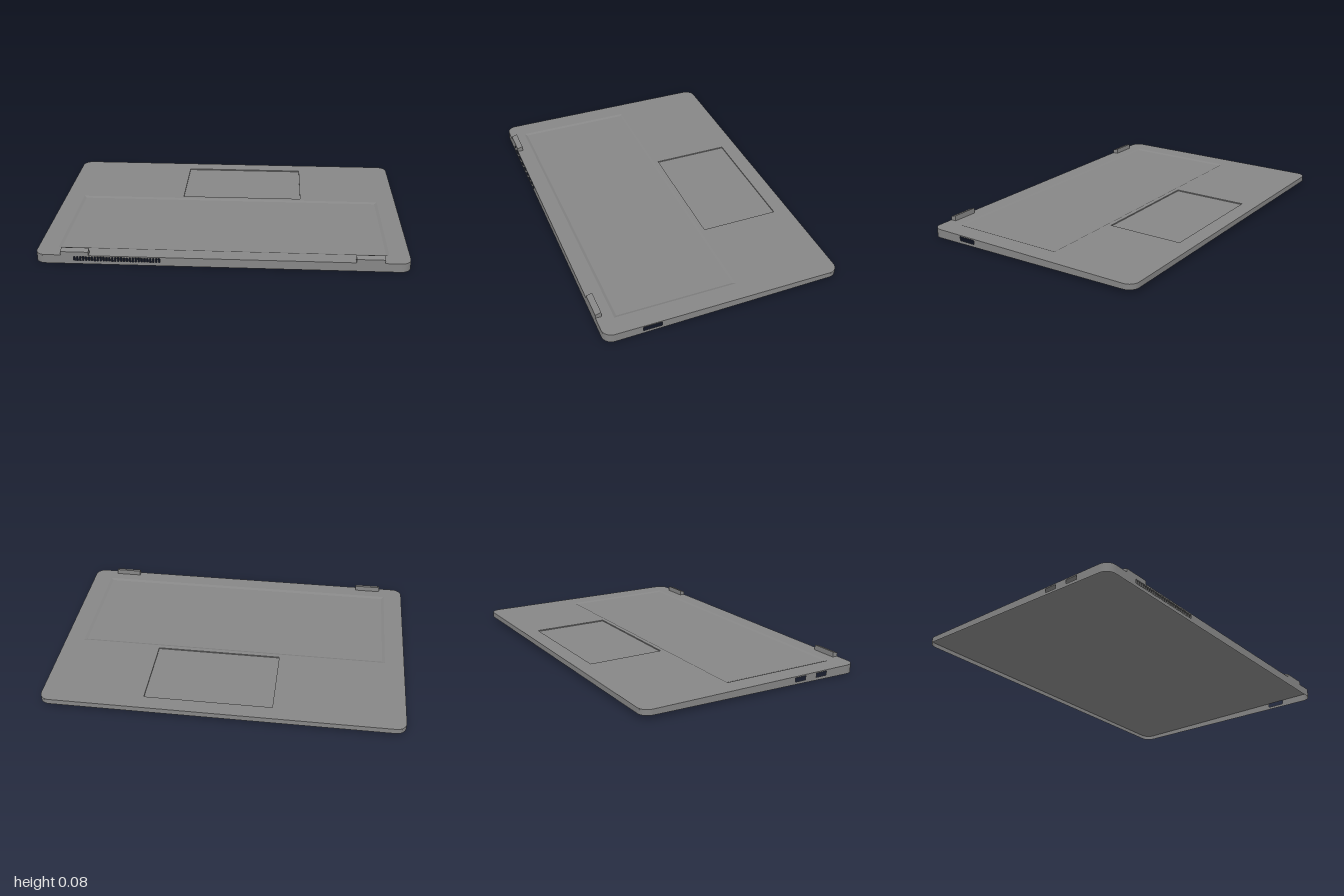
import * as THREE from 'three';

const W = 1, D = 0.66, TOP = 0.05, R = 0.055;
const FLOOR = TOP - 0.006; // level of the sunken areas
const bottomAt = (z) => 0.01 - 0.01 * z / D; // underside edge drops towards the hinge side
const material = new THREE.MeshStandardMaterial({ color: 0x868686, side: THREE.DoubleSide });

function add(parent, name, geometry) {
  const mesh = new THREE.Mesh(geometry, material);
  mesh.name = name;
  parent.add(mesh);
}

// rectangle path given by its corners
function rect(x0, y0, x1, y1, Type = THREE.Path) {
  const p = new Type();
  p.moveTo(x0, y0).lineTo(x1, y0).lineTo(x1, y1).lineTo(x0, y1).closePath();
  return p;
}

// rounded outline of the body, with optional openings
function outline(openings) {
  const s = new THREE.Shape();
  s.moveTo(-W + R, -D).lineTo(W - R, -D);
  s.absarc(W - R, -D + R, R, -Math.PI / 2, 0);
  s.absarc(W - R, D - R, R, 0, Math.PI / 2);
  s.absarc(-W + R, D - R, R, Math.PI / 2, Math.PI);
  s.absarc(-W + R, -D + R, R, Math.PI, Math.PI * 1.5);
  for (const [x0, x1, z0, z1] of openings) s.holes.push(rect(x0, -z1, x1, -z0));
  return new THREE.ShapeGeometry(s, 8).rotateX(-Math.PI / 2);
}

// strip between two rows of [x, y, z] points
function strip(a, b, flat) {
  const index = [];
  for (let i = 0; i < a.length - 1; i++) {
    const j = i + a.length;
    index.push(i, j, i + 1, i + 1, j, j + 1);
  }
  let g = new THREE.BufferGeometry();
  g.setAttribute('position', new THREE.Float32BufferAttribute([...a, ...b].flat(), 3));
  g.setIndex(index);
  if (flat) g = g.toNonIndexed();
  g.computeVertexNormals();
  return g;
}

// walls around a sunken area, sloped by inset
function recessWalls([x0, x1, z0, z1], inset) {
  const ring = (i, y) => [
    [x0 + i, y, z0 + i], [x0 + i, y, z1 - i], [x1 - i, y, z1 - i], [x1 - i, y, z0 + i], [x0 + i, y, z0 + i],
  ];
  return strip(ring(0, TOP), ring(inset, FLOOR), true);
}

export function createModel() {
  const model = new THREE.Group();
  model.name = 'laptopBase';

  // top deck with openings for the keyboard and touchpad, over one flat panel
  const keyboard = [-0.89, 0.89, -0.105, 0.57], touchpad = [-0.28, 0.43, -0.57, -0.13];
  add(model, 'deck', outline([keyboard, touchpad]).translate(0, TOP, 0));
  add(model, 'recessFloor', outline([]).translate(0, FLOOR, 0));
  add(model, 'keyboardRecess', recessWalls(keyboard, 0.015));
  add(model, 'touchpadRecess', recessWalls(touchpad, 0));

  // front wall with a row of vent slots
  const front = rect(-W + R, bottomAt(D), W - R, TOP, THREE.Shape);
  const slots = 30, pitch = 0.47 / slots;
  for (let i = 0; i < slots; i++) {
    const x = -0.79 + i * pitch;
    front.holes.push(rect(x, 0.02, x + pitch * 0.6, 0.043));
  }
  add(model, 'frontWall', new THREE.ShapeGeometry(front).translate(0, 0, D));

  // plain back wall
  const back = rect(-W + R, bottomAt(-D), W - R, TOP, THREE.Shape);
  add(model, 'backWall', new THREE.ShapeGeometry(back).rotateY(Math.PI).translate(0, 0, -D));

  // tapered side walls with open ports
  const ports = { 1: [[0.355, 0.455]], '-1': [[0.25, 0.318], [0.39, 0.458]] };
  for (const side of [1, -1]) {
    const e = D - R, s = -side; // local x runs along s * z
    const wall = new THREE.Shape();
    wall.moveTo(-s * e, bottomAt(-e)).lineTo(s * e, bottomAt(e)).lineTo(s * e, TOP).lineTo(-s * e, TOP).closePath();
    for (const [z0, z1] of ports[side]) wall.holes.push(rect(s * z0, 0.02, s * z1, 0.043));
    const g = new THREE.ShapeGeometry(wall).rotateY(side * Math.PI / 2).translate(side * W, 0, 0);
    add(model, side > 0 ? 'leftWall' : 'rightWall', g);
  }

  // rounded corners joining the walls
  for (let c = 0; c < 4; c++) {
    const upper = [], lower = [];
    for (let i = 0; i <= 8; i++) {
      const a = (c + i / 8) * Math.PI / 2, mid = (c + 0.5) * Math.PI / 2;
      const x = Math.sign(Math.cos(mid)) * (W - R) + R * Math.cos(a);
      const z = Math.sign(Math.sin(mid)) * (D - R) + R * Math.sin(a);
      upper.push([x, TOP, z]);
      lower.push([x, bottomAt(z), z]);
    }
    add(model, 'cornerWall', strip(lower, upper, false));
  }

  // two hinge blocks with slanted tops
  const profile = new THREE.Shape();
  profile.moveTo(0.628, TOP - 0.005).lineTo(D, TOP - 0.005).lineTo(D, 0.07).lineTo(0.628, 0.08).closePath();
  for (const side of [1, -1]) {
    const g = new THREE.ExtrudeGeometry(profile, { depth: 0.15, bevelEnabled: false });
    g.rotateY(-Math.PI / 2).translate(side * 0.785 + 0.075, 0, 0);
    add(model, side > 0 ? 'leftHinge' : 'rightHinge', g);
  }
  return model;
}
